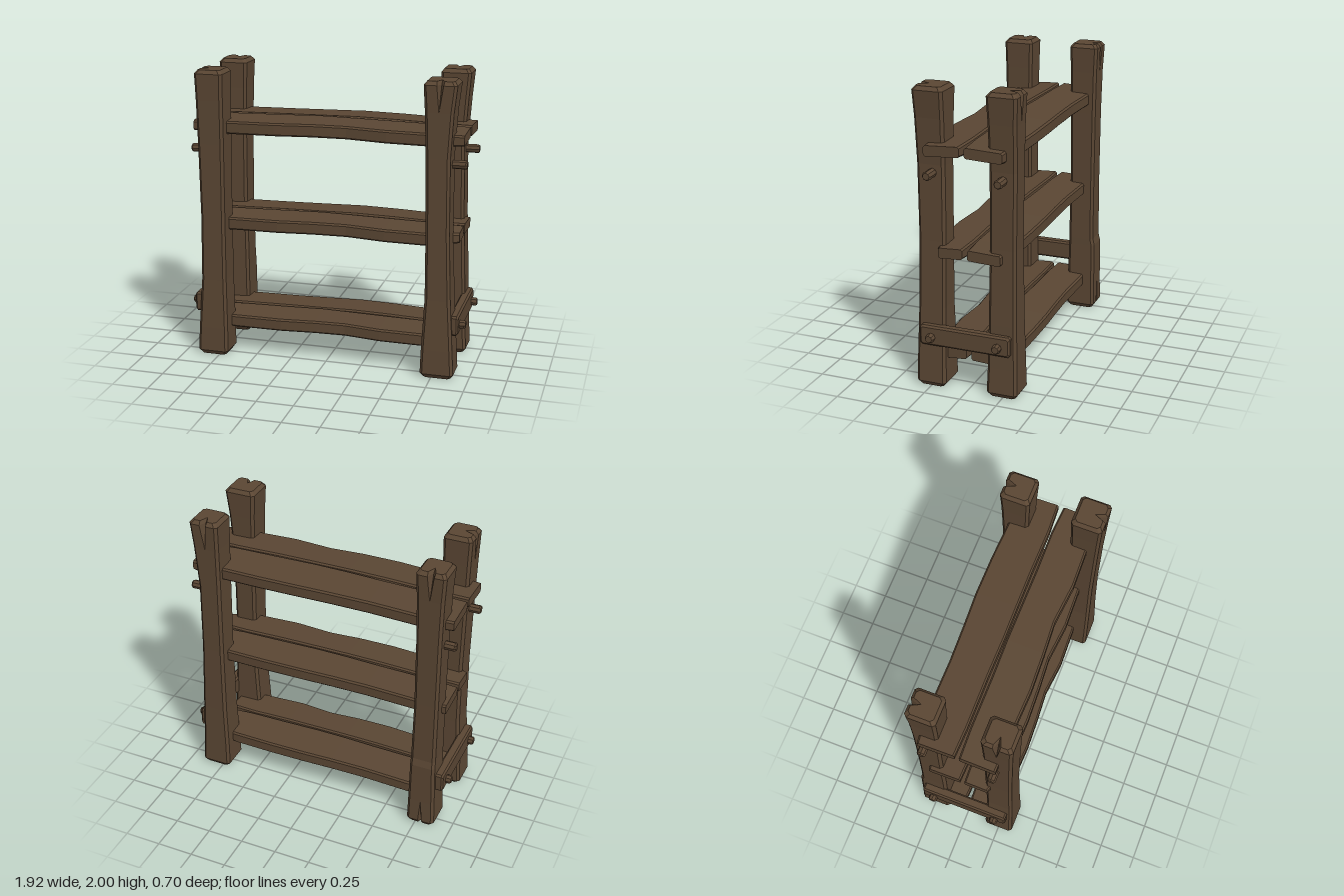
import * as THREE from 'three';

// Flat-shaded skin over rings of points, listed counter-clockwise about the axis.
function loft(rings) {
  const pos = [];
  const tri = (...pts) => pts.forEach(p => pos.push(...p));
  const centre = ring => [0, 1, 2].map(k => ring.reduce((s, p) => s + p[k], 0) / ring.length);
  const n = rings[0].length, last = rings[rings.length - 1];
  const c0 = centre(rings[0]), c1 = centre(last);
  for (let i = 0; i < n; i++) {
    const j = (i + 1) % n;
    for (let r = 0; r < rings.length - 1; r++) {
      const A = rings[r], B = rings[r + 1];
      tri(A[i], A[j], B[j]);
      tri(A[i], B[j], B[i]);
    }
    tri(c0, rings[0][j], rings[0][i]);
    tri(c1, last[i], last[j]);
  }
  const geo = new THREE.BufferGeometry();
  geo.setAttribute('position', new THREE.Float32BufferAttribute(pos, 3));
  geo.computeVertexNormals();
  return geo;
}

// Chamfered rectangle; one side (0:+u 1:+v 2:-u 3:-v) may carry a V-shaped split.
function section(u0, u1, v0, v1, c, side = -1, w = 0, d = 0) {
  const um = (u0 + u1) / 2, vm = (v0 + v1) / 2;
  const faces = [
    [[u1, v0 + c], [u1, v1 - c], [[u1, vm - w], [u1 - d, vm], [u1, vm + w]]],
    [[u1 - c, v1], [u0 + c, v1], [[um + w, v1], [um, v1 - d], [um - w, v1]]],
    [[u0, v1 - c], [u0, v0 + c], [[u0, vm + w], [u0 + d, vm], [u0, vm - w]]],
    [[u0 + c, v0], [u1 - c, v0], [[um - w, v0], [um, v0 + d], [um + w, v0]]],
  ];
  return faces.flatMap(([a, b, v], i) => (i === side ? [a, ...v, b] : [a, b]));
}

// Upright post. Rows are [y, xMin, xMax, zMin, zMax]; the split opens towards the top.
function postGeometry(rows, splitSide, footSplit) {
  const rings = rows.map(([y, x0, x1, z0, z1]) => {
    const end = y === 0 || y === 2 ? 0.02 : 0;
    let open = THREE.MathUtils.clamp((y - 1.8) / 0.2, 0, 1);
    if (footSplit) open = Math.max(open, 0.6 * THREE.MathUtils.clamp((0.2 - y) / 0.2, 0, 1));
    return section(z0 + end, z1 - end, x0 + end, x1 - end, 0.018, splitSide,
      0.001 + 0.024 * open, 0.06 * open).map(([z, x]) => [x, y, z]);
  });
  return loft(rings);
}

// Beam along x. Rows are [x, yMin, yMax, zMin, zMax].
function beamGeometry(rows, c) {
  const rings = rows.map(([x, y0, y1, z0, z1], i) => {
    const e = i === 0 || i === rows.length - 1 ? c * 0.8 : 0;
    return section(y0 + e, y1 - e, z0 + e, z1 - e, c).map(([y, z]) => [x, y, z]);
  });
  return loft(rings);
}

export function createModel() {
  const model = new THREE.Group();
  model.name = 'plankShelf';
  const wood = new THREE.MeshStandardMaterial({ color: 0x5a4633, flatShading: true });
  wood.name = 'darkWood';
  const add = (name, geo) => {
    const mesh = new THREE.Mesh(geo, wood);
    mesh.name = name;
    model.add(mesh);
    return mesh;
  };

  // Four rough-hewn posts, flared at foot and head
  add('frontRightPost', postGeometry([
    [0, -0.9, -0.685, 0.15, 0.35], [0.03, -0.9, -0.685, 0.145, 0.35],
    [0.2, -0.89, -0.685, 0.148, 0.348], [0.55, -0.865, -0.69, 0.152, 0.34],
    [1, -0.86, -0.69, 0.15, 0.335], [1.5, -0.865, -0.685, 0.15, 0.34],
    [1.8, -0.87, -0.683, 0.146, 0.345], [1.975, -0.875, -0.68, 0.142, 0.35],
    [2, -0.875, -0.68, 0.142, 0.35]], 3));
  add('frontLeftPost', postGeometry([
    [0, 0.675, 0.9, 0.15, 0.35], [0.03, 0.675, 0.9, 0.145, 0.35],
    [0.2, 0.68, 0.89, 0.148, 0.348], [0.55, 0.697, 0.868, 0.152, 0.34],
    [1, 0.693, 0.85, 0.15, 0.335], [1.5, 0.685, 0.845, 0.15, 0.34],
    [1.8, 0.675, 0.862, 0.146, 0.345], [1.975, 0.665, 0.882, 0.142, 0.35],
    [2, 0.665, 0.882, 0.142, 0.35]], 0));
  add('backRightPost', postGeometry([
    [0, -0.885, -0.69, -0.35, -0.14], [0.03, -0.885, -0.69, -0.35, -0.14],
    [0.2, -0.88, -0.692, -0.347, -0.145], [0.5, -0.87, -0.695, -0.345, -0.15],
    [0.55, -0.868, -0.695, -0.333, -0.15], [1, -0.865, -0.7, -0.33, -0.153],
    [1.5, -0.865, -0.695, -0.332, -0.15], [1.8, -0.87, -0.688, -0.337, -0.147],
    [1.975, -0.88, -0.68, -0.345, -0.142], [2, -0.88, -0.68, -0.345, -0.142]], 2, true));
  add('backLeftPost', postGeometry([
    [0, 0.69, 0.9, -0.35, -0.14], [0.03, 0.69, 0.9, -0.35, -0.14],
    [0.2, 0.692, 0.89, -0.345, -0.145], [0.5, 0.7, 0.88, -0.338, -0.15],
    [1, 0.7, 0.86, -0.33, -0.153], [1.5, 0.692, 0.85, -0.332, -0.15],
    [1.8, 0.687, 0.87, -0.337, -0.147], [1.975, 0.682, 0.885, -0.345, -0.142],
    [2, 0.682, 0.885, -0.345, -0.142]], 2));

  // Three shelves of two planks each, with worn wavy edges and a narrow gap
  const shelves = [
    { name: 'bottom', y: 0.235, half: 0.84, front: 0.24, back: 0.26 },
    { name: 'middle', y: 0.942, half: 0.892, front: 0.19, back: 0.25 },
    { name: 'top', y: 1.615, half: 0.92, front: 0.265, back: 0.275 },
  ];
  const frontWave = [0, -0.005, 0.01, 0, -0.015, 0.01, 0, 0];
  const backWave = [0, 0.01, 0.005, 0.012, 0.022, 0.02, 0.008, 0];
  const lift = [0, -0.004, 0.004, 0.009, 0.006, 0.002, -0.004, 0];
  const stations = [-1, -0.78, -0.38, -0.1, 0.15, 0.45, 0.78, 1];
  for (const { name, y, half, front, back } of shelves) {
    const rows = (edge) => stations.map((t, i) => {
      const inner = 0.006 + (i % 3) * 0.002;
      const inside = i > 0 && i < stations.length - 1;
      const z = edge > 0
        ? (inside ? Math.max(front, 0.248) : front) + frontWave[i]
        : back + backWave[i];
      const yy = y + lift[edge > 0 ? i : 7 - i];
      return [t * half, yy - 0.043, yy + 0.043, edge > 0 ? inner : -z, edge > 0 ? z : -inner];
    });
    // Planks sag slightly towards their outer edge
    for (const edge of [1, -1]) {
      const geo = beamGeometry(rows(edge), 0.011);
      const p = geo.attributes.position;
      for (let i = 0; i < p.count; i++) p.setY(i, p.getY(i) + 0.006 - 0.05 * Math.abs(p.getZ(i)));
      geo.computeVertexNormals();
      add(name + (edge > 0 ? 'FrontPlank' : 'BackPlank'), geo);
    }
  }

  for (const s of [1, -1]) {
    const sideName = s > 0 ? 'left' : 'right';
    // Cross bar joining the posts near the foot
    const x0 = s > 0 ? 0.855 : -0.925, x1 = s > 0 ? 0.92 : -0.855;
    add(sideName + 'CrossBar', beamGeometry([
      [x0, 0.305, 0.435, -0.31, 0.31], [x0 + 0.012, 0.302, 0.438, -0.31, 0.31],
      [x1 - 0.012, 0.302, 0.438, -0.31, 0.31], [x1, 0.305, 0.435, -0.31, 0.31]], 0.012));
    // Round pegs through bars and posts
    for (const [y, z, tip, label] of [
      [1.45, 0.23, 0.942, 'UpperFrontPeg'], [1.45, -0.245, 0.942, 'UpperBackPeg'],
      [0.362, 0.23, 0.96, 'LowerFrontPeg'], [0.362, -0.228, 0.96, 'LowerBackPeg']]) {
      const points = [[0, 0], [0.028, 0], [0.03, 0.14], [0.023, 0.15], [0, 0.15]]
        .map(([r, h]) => new THREE.Vector2(r, h));
      const peg = add(sideName + label, new THREE.LatheGeometry(points, 8));
      peg.rotation.z = -s * Math.PI / 2;
      peg.position.set(s * (tip - 0.15), y, z);
    }
  }
  return model;
}
